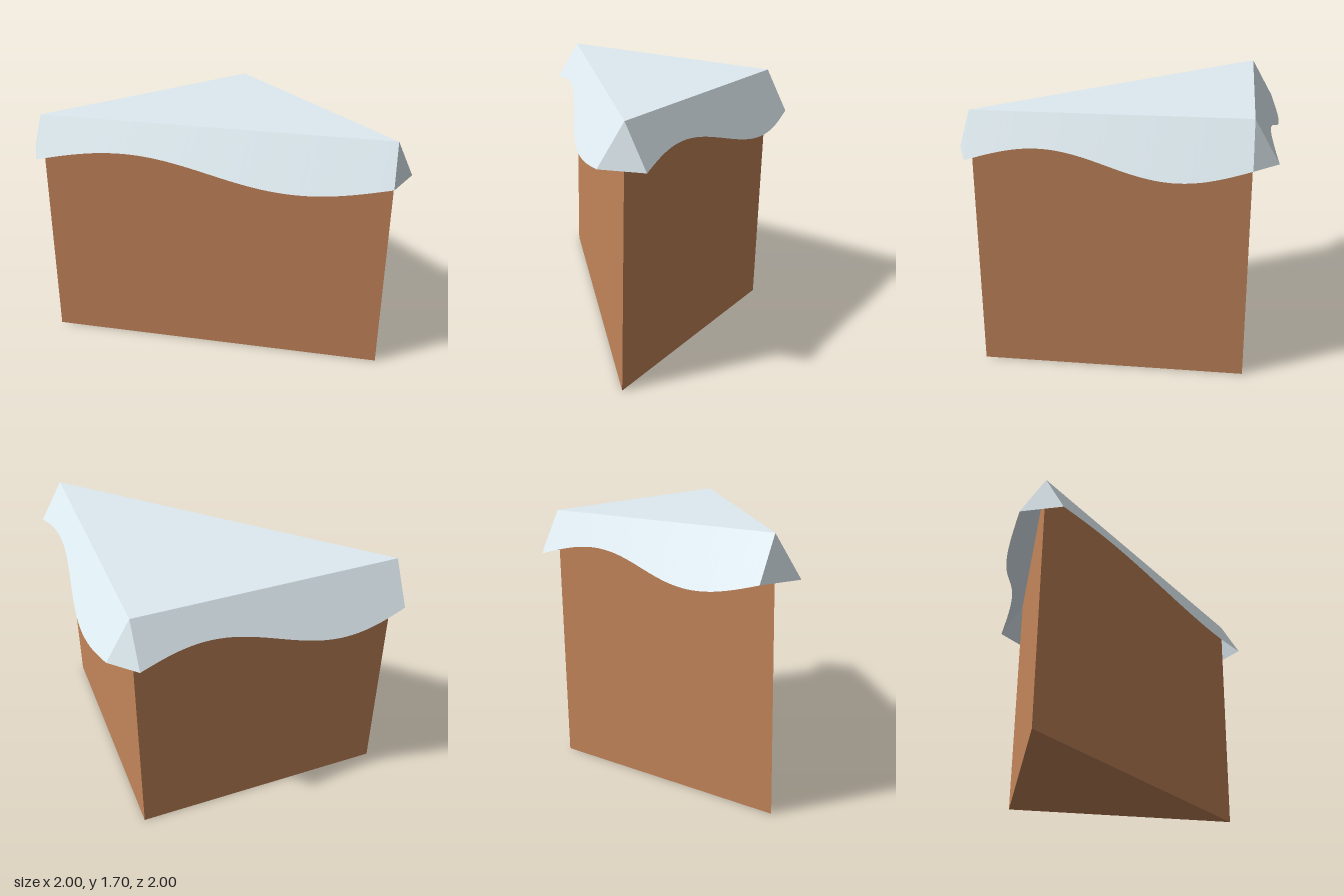
import * as THREE from 'three';

const HEIGHT = 1.695, DROP = 0.267, FLARE = 0.153, WAVE = 0.28, STEPS = 48;
// Right-triangle plan as (x, z): back left, back right, front right of the plan
const CORNERS = [[-0.892, -0.805], [0.8, -0.805], [0.8, 0.888]].map(([x, z]) => new THREE.Vector3(x, HEIGHT, z));

function sheet(name, triangles, material) {
  const geometry = new THREE.BufferGeometry().setFromPoints(triangles);
  geometry.computeVertexNormals();
  const mesh = new THREE.Mesh(geometry, material);
  mesh.name = name;
  return mesh;
}

// Point on the wavy hem of the flap hanging from edge p-q
function hemPoint(p, q, t) {
  const d = q.clone().sub(p).normalize();
  const reach = 1 + WAVE * Math.sin(t * Math.PI * 2);
  return p.clone().lerp(q, t).add(new THREE.Vector3(d.z * FLARE * reach, -DROP * reach, -d.x * FLARE * reach));
}

export function createModel() {
  const model = new THREE.Group();
  model.name = 'coveredTriangularTable';
  const brown = new THREE.MeshStandardMaterial({ color: 0xc4855a });
  const cloth = new THREE.MeshStandardMaterial({ color: 0xdeebf1, side: THREE.DoubleSide });

  // Solid triangular prism, kept a hair under the cloth
  const plan = new THREE.Shape(CORNERS.map((c) => new THREE.Vector2(c.x, -c.z)));
  const prism = new THREE.ExtrudeGeometry(plan, { depth: HEIGHT - 0.004, bevelEnabled: false });
  const body = new THREE.Mesh(prism.rotateX(-Math.PI / 2), brown);
  body.name = 'body';
  model.add(body);

  // Cloth: flat top, three wavy flaps and a folded triangle at each corner
  const cover = new THREE.Group();
  cover.name = 'clothCover';
  const [a, b, c] = CORNERS;
  cover.add(sheet('clothTop', [a, c, b], cloth));
  for (let i = 0; i < 3; i++) {
    const p = CORNERS[i], q = CORNERS[(i + 1) % 3], previous = CORNERS[(i + 2) % 3];
    const flap = [];
    for (let s = 0; s < STEPS; s++) {
      const t0 = s / STEPS, t1 = (s + 1) / STEPS;
      const top0 = p.clone().lerp(q, t0), top1 = p.clone().lerp(q, t1);
      const hem0 = hemPoint(p, q, t0), hem1 = hemPoint(p, q, t1);
      flap.push(top0, top1, hem1, top0, hem1, hem0);
    }
    cover.add(sheet('clothFlap', flap, cloth));
    cover.add(sheet('clothCorner', [p, hemPoint(p, q, 0), hemPoint(previous, p, 1)], cloth));
  }
  model.add(cover);
  return model;
}
